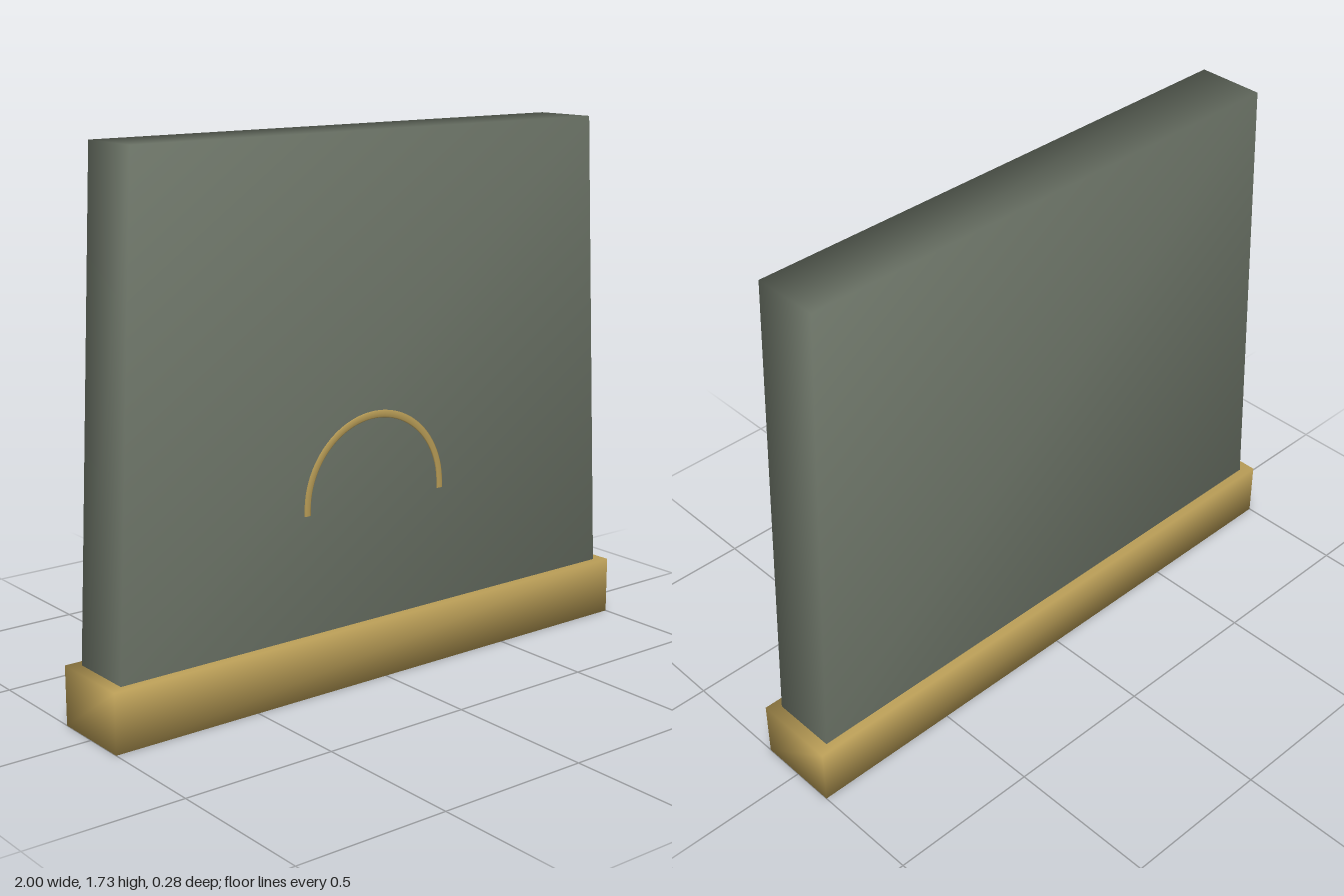
import * as THREE from 'three';
import { mergeVertices } from 'three/addons/utils/BufferGeometryUtils.js';

// Box resting on y = 0 with a narrower top and shared, smoothed corner normals
function smoothBlock(bottomWidth, topWidth, height, depth) {
  const box = new THREE.BoxGeometry(bottomWidth, height, depth);
  box.translate(0, height / 2, 0);
  const p = box.attributes.position;
  for (let i = 0; i < p.count; i++) {
    if (p.getY(i) > height / 2) p.setX(i, p.getX(i) * topWidth / bottomWidth);
  }
  box.deleteAttribute('normal');
  box.deleteAttribute('uv');
  const merged = mergeVertices(box);
  merged.clearGroups();
  merged.computeVertexNormals();
  return merged;
}

export function createModel() {
  const group = new THREE.Group();
  const stone = new THREE.MeshStandardMaterial({ name: 'greyGreen', color: 0x6f776a });
  const gold = new THREE.MeshStandardMaterial({ name: 'gold', color: 0xb89c56 });

  const add = (name, geometry, material, x, y, z) => {
    const mesh = new THREE.Mesh(geometry, material);
    mesh.name = name;
    mesh.position.set(x, y, z);
    group.add(mesh);
    return mesh;
  };

  const baseHeight = 0.19;
  add('base', smoothBlock(2, 2, baseHeight, 0.28), gold, 0, 0, 0);
  add('slab', smoothBlock(1.92, 1.76, 1.54, 0.22), stone, 0, baseHeight, 0);

  // Thin raised arch on the front face, with short straight feet
  const points = [new THREE.Vector3(-0.265, -0.015, 0)];
  for (let i = 0; i <= 16; i++) {
    const a = Math.PI * (1 - i / 16);
    points.push(new THREE.Vector3(0.265 * Math.cos(a), 0.265 * Math.sin(a), 0));
  }
  points.push(new THREE.Vector3(0.265, -0.015, 0));
  const arch = new THREE.TubeGeometry(new THREE.CatmullRomCurve3(points), 48, 0.012, 8);
  arch.scale(1, 1, 0.25);
  add('frontArch', arch, gold, -0.022, 0.59, 0.11);

  return group;
}
